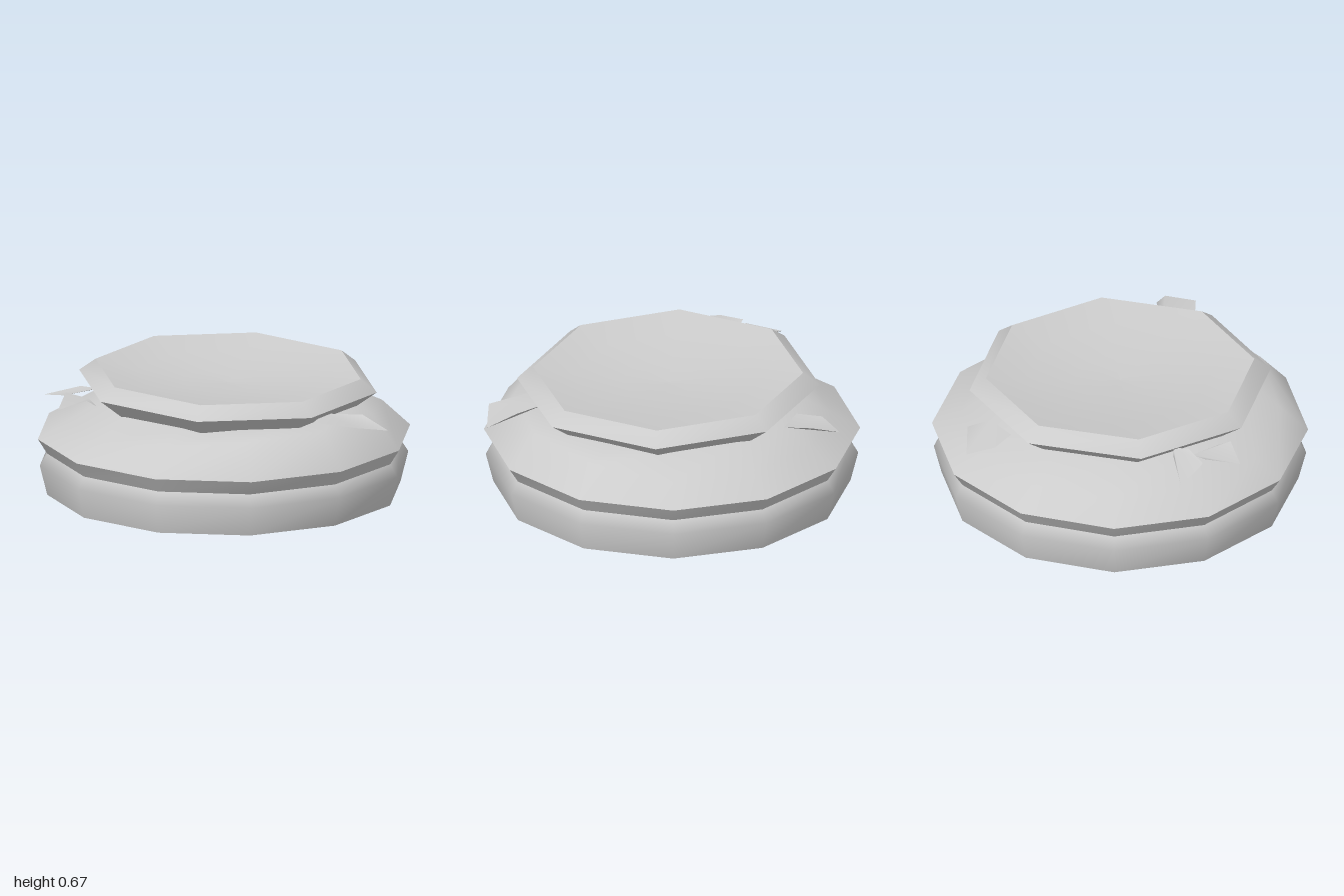
import * as THREE from 'three';

const grey = new THREE.MeshStandardMaterial({ color: 0xcccccc, side: THREE.DoubleSide });

function meshFrom(name, positions, indices) {
  const g = new THREE.BufferGeometry();
  g.setAttribute('position', new THREE.Float32BufferAttribute(positions, 3));
  g.setIndex(indices);
  g.computeVertexNormals();
  const m = new THREE.Mesh(g, grey);
  m.name = name;
  return m;
}

// Polygonal band swept round y through [radius, height] pairs; lift(angle, ring) adjusts height
function band(name, profile, sides, turn = 0, lift = () => 0) {
  const pos = [], idx = [];
  profile.forEach(([r, y], i) => {
    for (let j = 0; j < sides; j++) {
      const a = turn + (j / sides) * Math.PI * 2;
      pos.push(r * Math.cos(a), y + lift(a, i), r * Math.sin(a));
      if (i === profile.length - 1) continue;
      const k = (j + 1) % sides;
      const p = i * sides + j, q = i * sides + k;
      idx.push(p, p + sides, q, q, p + sides, q + sides);
    }
  });
  return meshFrom(name, pos, idx);
}

// Thin torn flap of cloth, corners anticlockwise from above
function flap(name, pts) {
  const idx = [];
  for (let i = 1; i < pts.length - 1; i++) idx.push(0, i, i + 1);
  return meshFrom(name, pts.flat(), idx);
}

export function createModel() {
  const model = new THREE.Group();

  // Twelve-sided hollow body, open below and closed by a low dome
  const body = new THREE.Group();
  body.name = 'body';
  body.position.x = -0.01;
  // The shoulder bulges towards the front left
  const bulge = (a, i) => (i === 1 ? 0.1 * Math.max(0, Math.cos(a - 0.5)) : 0);
  body.add(
    band('lowerWall', [[0.94, 0], [0.98, 0.16], [0.94, 0.225]], 12),
    band('groove', [[0.94, 0.225], [0.99, 0.305]], 12),
    band('shoulder', [[0.99, 0.305], [0.84, 0.395], [0.66, 0.497], [0.4, 0.515], [0.001, 0.52]], 12, 0, bulge),
  );
  model.add(body);

  // Eight-sided lid with a dished top, slightly tilted
  const lid = new THREE.Group();
  lid.name = 'lid';
  const turn = -0.17;
  lid.add(
    band('lidUnderside', [[0.67, 0.485], [0.8, 0.585]], 8, turn),
    band('lidBevel', [[0.8, 0.585], [0.713, 0.652]], 8, turn),
    band('lidTop', [[0.713, 0.652], [0.5, 0.615], [0.25, 0.588], [0.001, 0.58]], 8, turn),
  );
  lid.rotation.z = -0.021;
  model.add(lid);

  // Torn flaps sticking out beneath the lid
  model.add(
    flap('leftFlap', [[0.64, 0.525, 0.2], [0.64, 0.52, 0.37], [0.89, 0.515, 0.37], [1.0, 0.47, 0.205], [0.84, 0.53, 0.165]]),
    flap('rightFlap', [[-0.6, 0.56, 0.3], [-0.7, 0.565, 0.305], [-0.89, 0.51, 0.35], [-0.73, 0.55, 0.46], [-0.62, 0.57, 0.38]]),
    flap('frontFlap', [[-0.62, 0.53, 0.4], [-0.72, 0.57, 0.47], [-0.69, 0.525, 0.655], [-0.55, 0.575, 0.6], [-0.52, 0.53, 0.53]]),
    flap('backFlap', [[-0.3, 0.52, -0.67], [-0.4, 0.54, -0.79], [-0.57, 0.475, -0.79], [-0.55, 0.51, -0.64], [-0.44, 0.52, -0.56]]),
  );
  return model;
}
